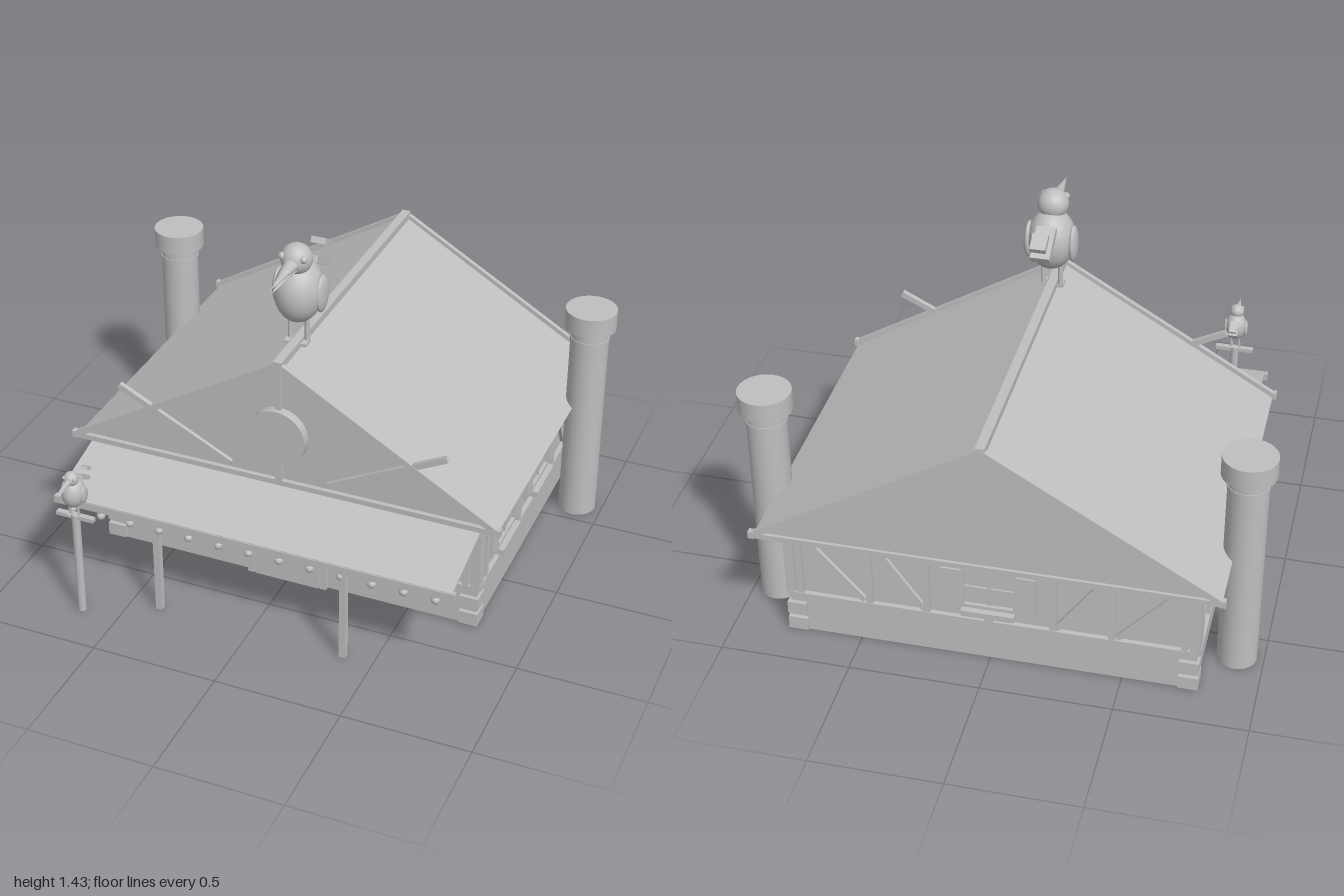
import * as THREE from 'three';

const plaster = new THREE.MeshStandardMaterial({ color: 0xbfbfbf });
plaster.name = 'light grey';

function add(parent, name, geo, x = 0, y = 0, z = 0) {
  const m = new THREE.Mesh(geo, plaster);
  m.name = name;
  m.position.set(x, y, z);
  parent.add(m);
  return m;
}
const box = (p, name, w, h, d, x, y, z) => add(p, name, new THREE.BoxGeometry(w, h, d), x, y, z);
const cyl = (p, name, r, h, x, y, z, seg = 32) => add(p, name, new THREE.CylinderGeometry(r, r, h, seg), x, y, z);
function group(parent, name, x = 0, y = 0, z = 0) {
  const g = new THREE.Group();
  g.name = name;
  g.position.set(x, y, z);
  parent.add(g);
  return g;
}
// Timber running between two points of a plane at depth z
function beam(p, name, x1, y1, x2, y2, t, d, z) {
  const m = box(p, name, Math.hypot(x2 - x1, y2 - y1), t, d, (x1 + x2) / 2, (y1 + y2) / 2, z);
  m.rotation.z = Math.atan2(y2 - y1, x2 - x1);
  return m;
}

// Window with frame, glazing bars, shutters and flower box
function addWindow(parent, x, w = 0.2, y = 0.335, h = 0.165) {
  const g = group(parent, 'window', x, y, 0);
  box(g, 'windowPane', w, h, 0.008, 0, 0, 0.006);
  for (const s of [-1, 1]) {
    box(g, 'windowFrameSide', 0.014, h, 0.024, s * w / 2, 0, 0.012);
    box(g, 'windowFrameRail', w, 0.014, 0.024, 0, s * h / 2, 0.012);
    box(g, 'shutter', 0.07, h, 0.018, s * (w / 2 + 0.042), 0, 0.018);
  }
  box(g, 'glazingBar', 0.01, h, 0.014, 0, 0, 0.01);
  box(g, 'glazingBar', w, 0.01, 0.014, 0, 0, 0.01);
  box(g, 'flowerBox', w, 0.025, 0.045, 0, -h / 2 - 0.02, 0.025);
  box(g, 'flowerBoxBracket', 0.03, 0.035, 0.03, 0, -h / 2 - 0.05, 0.015);
}

// One timbered wall: x runs along it, z points outwards
function timberWall(parent, name, half, posts, braces) {
  const g = group(parent, name);
  box(g, 'sillBeam', half * 2, 0.025, 0.03, 0, 0.172, 0.002);
  box(g, 'topPlate', half * 2, 0.025, 0.03, 0, 0.487, 0.002);
  for (const x of posts) box(g, 'wallPost', 0.026, 0.31, 0.026, x, 0.33, 0.002);
  for (const [x1, y1, x2, y2] of braces) beam(g, 'wallBrace', x1, y1, x2, y2, 0.022, 0.02, 0.002);
  return g;
}

function bird(parent, name, x, y, z, s) {
  const g = group(parent, name, x, y, z);
  g.scale.setScalar(s);
  const ball = (n, r, px, py, pz, sx = 1, sy = 1, sz = 1) => {
    const m = add(g, n, new THREE.SphereGeometry(r, 20, 14), px, py, pz);
    m.scale.set(sx, sy, sz);
    return m;
  };
  ball('body', 0.1, 0, 0, 0, 0.93, 1.25, 1.03).rotation.x = -0.12;
  ball('head', 0.06, 0, 0.14, 0.022);
  // Open beak: long upper half, flat lower half
  const upper = add(g, 'upperBeak', new THREE.ConeGeometry(0.03, 0.19, 12), 0, 0.132, 0.16);
  upper.rotation.x = Math.PI / 2 + 0.05;
  upper.scale.z = 0.8;
  const lower = add(g, 'lowerBeak', new THREE.ConeGeometry(0.024, 0.18, 12), 0, 0.112, 0.16);
  lower.rotation.x = Math.PI / 2 + 0.06;
  lower.scale.z = 0.5;
  for (const k of [-1, 1]) {
    ball('eye', 0.015, k * 0.042, 0.158, 0.055);
    ball('wing', 0.075, k * 0.086, -0.005, -0.012, 0.25, 1, 0.65);
    cyl(g, 'leg', 0.01, 0.13, k * 0.034, -0.145, 0.005, 10);
    box(g, 'foot', 0.022, 0.012, 0.05, k * 0.034, -0.207, 0.02);
  }
  box(g, 'tail', 0.075, 0.03, 0.14, 0, 0.055, -0.145).rotation.x = -0.53;
  box(g, 'tailFeather', 0.06, 0.025, 0.07, 0, 0.098, -0.212).rotation.x = -0.53;
  return g;
}

export function createModel() {
  const model = new THREE.Group();
  model.name = 'timberHouse';
  const cz = -0.255;

  // Walls and stone base with corner blocks
  box(model, 'upperWall', 1.54, 0.37, 1.13, 0, 0.32, cz);
  box(model, 'stoneBase', 1.55, 0.165, 1.14, 0, 0.0825, cz);
  for (const sx of [-1, 1]) for (const sz of [-1, 1]) {
    for (const y of [0.034, 0.105]) {
      box(model, 'cornerStone', 0.075, 0.055, 0.075, sx * 0.748, y, cz + sz * 0.548);
    }
    box(model, 'cornerPost', 0.036, 0.33, 0.036, sx * 0.768, 0.332, cz + sz * 0.564);
  }

  // Front wall with door
  const front = timberWall(model, 'frontWall', 0.775, [-0.73, -0.38, 0.38, 0.73],
    [[0.17, 0.19, 0.36, 0.4], [-0.17, 0.19, -0.36, 0.4], [0.64, 0.45, 0.73, 0.36], [-0.64, 0.45, -0.73, 0.36]]);
  front.position.z = 0.312;
  for (const s of [-1, 1]) {
    addWindow(front, s * 0.47, 0.16, 0.315, 0.15);
    box(front, 'doorPost', 0.026, 0.48, 0.034, s * 0.153, 0.24, 0.006);
  }
  const doorShape = new THREE.Shape([[-0.135, 0], [0.135, 0], [0.135, 0.26], [0.11, 0.29], [-0.11, 0.29], [-0.135, 0.26]]
    .map(([x, y]) => new THREE.Vector2(x, y)));
  add(front, 'door', new THREE.ExtrudeGeometry(doorShape, { depth: 0.024, bevelEnabled: false }));
  add(front, 'doorKnob', new THREE.SphereGeometry(0.011, 10, 8), 0.095, 0.16, 0.03);

  // Back wall with one window
  const back = timberWall(model, 'backWall', 0.775, [-0.73, -0.46, -0.24, 0.24, 0.46, 0.73],
    [-1, 1].flatMap(s => [[s * 0.72, 0.46, s * 0.48, 0.19], [s * 0.44, 0.46, s * 0.25, 0.19]]));
  back.position.z = -0.822;
  back.rotation.y = Math.PI;
  addWindow(back, 0);

  // Side walls, mirrored
  for (const s of [-1, 1]) {
    const posts = [0.29, 0.235, -0.165, -0.6, -0.78];
    const side = timberWall(model, s > 0 ? 'leftWall' : 'rightWall', 0.565, posts.map(z => -s * (z - cz)),
      [[0.24, 0.37, 0.3, 0.45], [-0.14, 0.42, -0.1, 0.47], [-0.56, 0.42, -0.52, 0.47], [-0.76, 0.2, -0.62, 0.46]]
        .map(([a, y1, b, y2]) => [-s * (a - cz), y1, -s * (b - cz), y2]));
    side.position.set(s * 0.772, 0, cz);
    side.rotation.y = s * Math.PI / 2;
    for (const z of [0.035, -0.385]) addWindow(side, -s * (z - cz), 0.21);
  }

  // Roof prism, ridge beam and eave boards
  const gable = new THREE.Shape([[-0.865, 0.5], [0.865, 0.5], [0, 1.015]].map(([x, y]) => new THREE.Vector2(x, y)));
  add(model, 'roof', new THREE.ExtrudeGeometry(gable, { depth: 1.305, bevelEnabled: false }), 0, 0, -0.92);
  box(model, 'ridgeBeam', 0.035, 0.035, 1.335, 0, 1.017, -0.262);
  for (const z of [0.393, -0.922]) {
    box(model, 'tieBeam', 1.74, 0.022, 0.02, 0, 0.506, z);
    for (const s of [-1, 1]) {
      beam(model, 'bargeBoard', s * 0.865, 0.508, 0, 1.018, 0.024, 0.02, z);
      box(model, 'eaveEnd', 0.024, 0.028, 0.024, s * 0.868, 0.508, z);
    }
  }

  // Gable timbers and round plaque
  box(model, 'kingPost', 0.026, 0.49, 0.02, 0, 0.755, 0.393);
  for (const s of [-1, 1]) beam(model, 'gableBrace', s * 0.665, 0.775, s * 0.2, 0.54, 0.023, 0.02, 0.391);
  cyl(model, 'roundPlaque', 0.116, 0.04, 0, 0.715, 0.402, 48).rotation.x = Math.PI / 2;

  // Porch awning with posts and hanging lamps
  const slope = Math.atan2(0.09, 0.37);
  box(model, 'awning', 1.6, 0.012, 0.385, 0, 0.457, 0.5).rotation.x = slope;
  box(model, 'awningBeam', 1.62, 0.03, 0.022, 0, 0.4, 0.681);
  for (const s of [-1, 1]) box(model, 'awningPost', 0.026, 0.4, 0.026, s * 0.38, 0.2, 0.68);
  for (let i = -6; i <= 6; i++) {
    add(model, 'hangingLamp', new THREE.SphereGeometry(0.017, 12, 8), i * 0.1228, 0.369, 0.683);
    cyl(model, 'lampCap', 0.01, 0.012, i * 0.1228, 0.386, 0.683, 10);
  }

  // Round chimneys
  for (const s of [-1, 1]) {
    const c = group(model, 'chimney', s * 0.897, 0, -0.61);
    cyl(c, 'chimneyShaft', 0.076, 0.86, 0, 0.43, 0);
    cyl(c, 'chimneyCollar', 0.079, 0.012, 0, 0.805, 0);
    cyl(c, 'chimneyCap', 0.102, 0.08, 0, 0.89, 0);
  }

  // Ridge bird, and the small one on its perch
  bird(model, 'ridgeBird', 0, 1.232, 0.195, 1);
  cyl(model, 'perchPost', 0.017, 0.445, -0.652, 0.2225, 0.805, 8);
  box(model, 'perchBar', 0.155, 0.016, 0.022, -0.652, 0.437, 0.805);
  bird(model, 'perchBird', -0.652, 0.546, 0.808, 0.48);
  return model;
}
